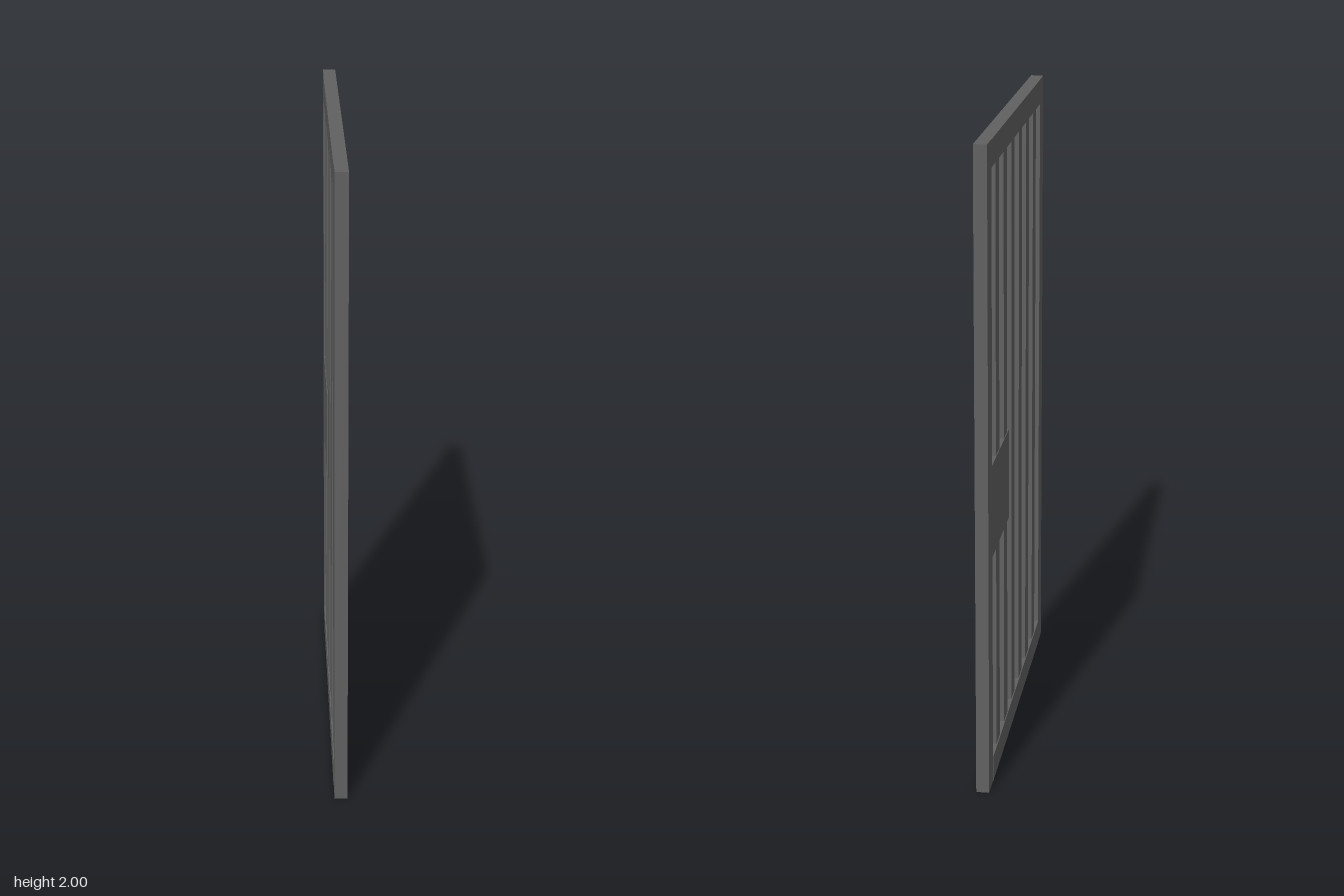
import * as THREE from 'three';

export function createModel() {
  const group = new THREE.Group();
  const material = new THREE.MeshStandardMaterial({ color: 0x606060, flatShading: true });

  // Box given by its extents on each axis
  function addBox(name, [x0, x1], [y0, y1], [z0, z1]) {
    const geometry = new THREE.BoxGeometry(x1 - x0, y1 - y0, z1 - z0);
    const mesh = new THREE.Mesh(geometry, material);
    mesh.name = name;
    mesh.position.set((x0 + x1) / 2, (y0 + y1) / 2, (z0 + z1) / 2);
    group.add(mesh);
  }

  const depth = [-0.02, 0.02];

  // Outer frame: full-height stiles with rails between them
  addBox('frontStile', depth, [0, 2], [0.538, 0.618]);
  addBox('backStile', depth, [0, 2], [-0.618, -0.538]);
  addBox('topRail', [-0.021, 0.02], [1.92, 2], [-0.538, 0.538]);
  addBox('bottomRail', [-0.021, 0.02], [0, 0.082], [-0.538, 0.538]);

  // Six evenly spaced upright bars
  for (let i = 0; i < 6; i++) {
    const z = (i - 2.5) * 0.1655;
    addBox(`bar${i + 1}`, [-0.018, 0.018], [0.08, 1.922], [z - 0.035, z + 0.035]);
  }

  // Lock plate joined to the back stile
  addBox('lockPlate', depth, [0.74, 1.03], [-0.538, -0.187]);

  return group;
}
